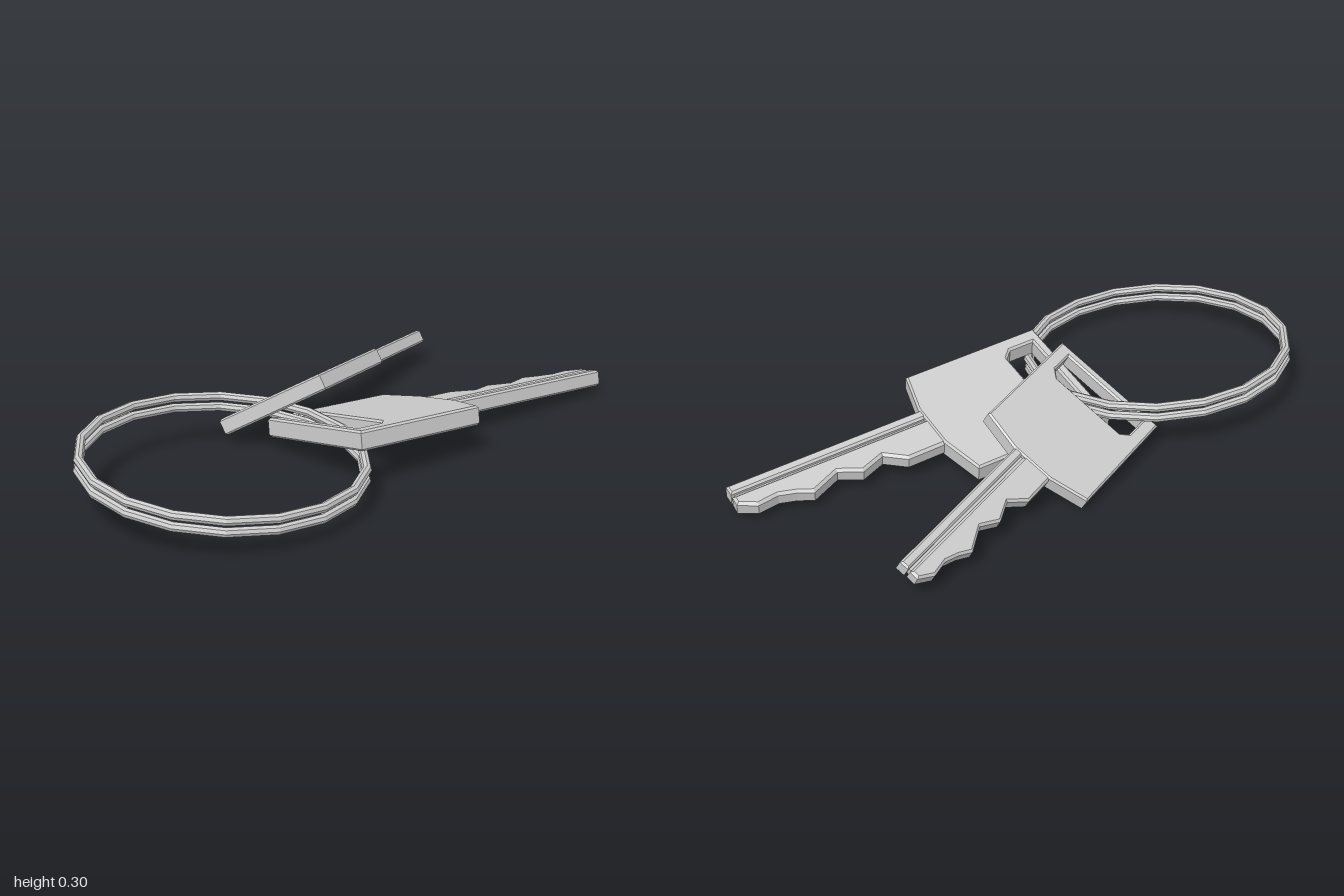
import * as THREE from 'three';

const material = new THREE.MeshStandardMaterial({ color: 0xcccccc, flatShading: true });

const toPath = (points, PathType = THREE.Shape) =>
  new PathType(points.map(([x, y]) => new THREE.Vector2(x, y)));

// Plate lying in XY, centred on z = 0, chamfered inside its outline
function plate(name, shape, thickness, bevel) {
  const geometry = new THREE.ExtrudeGeometry(shape, {
    depth: thickness - 2 * bevel,
    bevelEnabled: bevel > 0,
    bevelThickness: bevel,
    bevelSize: bevel,
    bevelOffset: -bevel,
    bevelSegments: 1,
  });
  geometry.translate(0, 0, -thickness / 2 + bevel);
  const mesh = new THREE.Mesh(geometry, material);
  mesh.name = name;
  return mesh;
}

// One key: x across, y towards the tip, z through the thickness
function createKey(name) {
  const key = new THREE.Group();
  key.name = name;

  // Bow with a slot for the ring
  const bow = toPath([
    [-0.24, -0.165], [0.24, -0.165], [0.24, 0.335],
    [0.085, 0.374], [-0.085, 0.374], [-0.24, 0.335],
  ]);
  bow.holes.push(toPath([
    [-0.185, -0.13], [-0.185, -0.04], [-0.155, -0.01],
    [0.155, -0.01], [0.185, -0.04], [0.185, -0.13],
  ], THREE.Path));
  key.add(plate('bow', bow, 0.065, 0.007));

  // Cut edge of the blade
  key.add(plate('teeth', toPath([
    [0.036, 0.36], [0.036, 1.066], [0, 1.068], [-0.034, 1.01], [-0.026, 0.938],
    [-0.044, 0.882], [-0.07, 0.833], [-0.026, 0.731], [-0.066, 0.657],
    [-0.035, 0.573], [-0.088, 0.506], [-0.087, 0.36],
  ]), 0.054, 0.009));

  // Straight back of the blade, and the thin web at the bottom of the groove
  key.add(plate('spine', toPath([
    [0.046, 0.36], [0.084, 0.36], [0.084, 1.066], [0.046, 1.066],
  ]), 0.056, 0.007));
  key.add(plate('web', toPath([
    [0.02, 0.36], [0.06, 0.36], [0.06, 1.055], [0.02, 1.055],
  ]), 0.026, 0));
  return key;
}

// Aim a key along a direction, roll it by its sideways axis and place it
function placeKey(key, position, forward, sideways, scale) {
  const v = new THREE.Vector3(...forward).normalize();
  const u = new THREE.Vector3(...sideways);
  u.addScaledVector(v, -u.dot(v)).normalize();
  const w = new THREE.Vector3().crossVectors(u, v);
  key.quaternion.setFromRotationMatrix(new THREE.Matrix4().makeBasis(u, v, w));
  key.position.set(...position);
  key.scale.setScalar(scale);
  return key;
}

export function createModel() {
  const model = new THREE.Group();
  model.name = 'keysOnRing';

  // Split ring made of two stacked coils
  const ring = new THREE.Group();
  ring.name = 'keyRing';
  const coil = new THREE.TorusGeometry(0.447, 0.0155, 8, 18);
  coil.rotateZ(Math.PI / 18);
  coil.rotateX(Math.PI / 2);
  for (const [name, y] of [['upperCoil', 0.0185], ['lowerCoil', -0.0185]]) {
    const mesh = new THREE.Mesh(coil, material);
    mesh.name = name;
    mesh.position.y = y;
    ring.add(mesh);
  }
  ring.position.set(-0.025, 0.125, 0.53);
  ring.rotation.z = -0.088;
  model.add(ring);

  // Large key lies nearly flat, small key is rolled over it
  model.add(placeKey(createKey('largeKey'),
    [0.119, 0.112, 0.033], [0.265, -0.066, -0.964], [0.945, 0.2, 0.26], 1));
  model.add(placeKey(createKey('smallKey'),
    [-0.138, 0.157, 0.023], [-0.163, -0.105, -0.987], [0.846, 0.515, -0.14], 0.87));

  return model;
}
